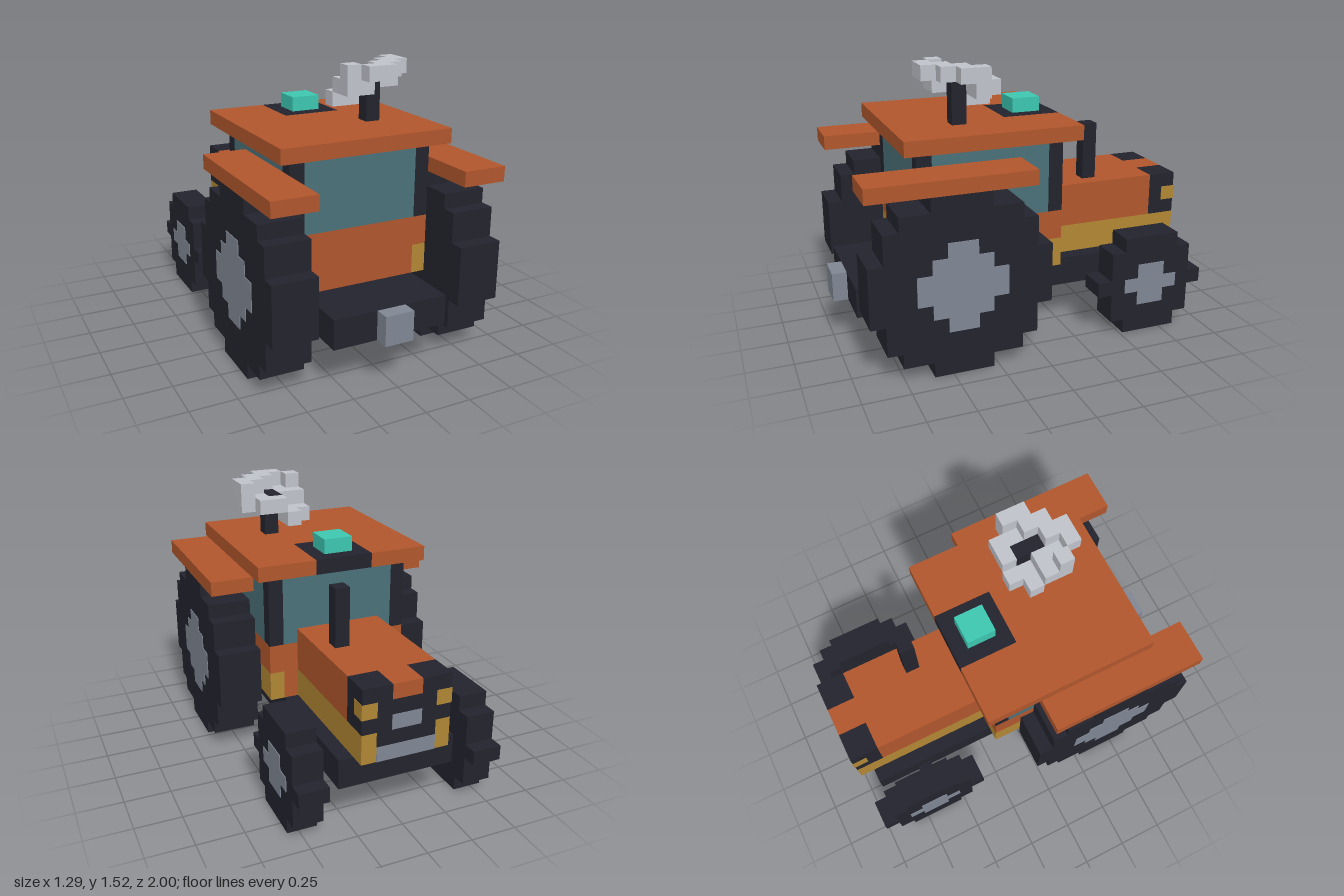
import * as THREE from 'three';

const U = 0.08; // block size

const material = (name, color) => {
  const m = new THREE.MeshStandardMaterial({ color });
  m.name = name;
  return m;
};

export function createModel() {
  const orange = material('orange paint', 0xb0562c);
  const dark = material('dark rubber', 0x23232e);
  const yellow = material('ochre trim', 0xb08633);
  const glass = material('window glass', 0x4a7078);
  const grey = material('steel grey', 0x7f8693);
  const pale = material('pale grey', 0xbfc2c9);
  const teal = material('teal light', 0x3cc6b0);

  const model = new THREE.Group();
  model.name = 'tractor';

  // Box given by its limits on each axis
  function box(name, mat, x0, x1, y0, y1, z0, z1, parent = model) {
    const mesh = new THREE.Mesh(new THREE.BoxGeometry(x1 - x0, y1 - y0, z1 - z0), mat);
    mesh.position.set((x0 + x1) / 2, (y0 + y1) / 2, (z0 + z1) / 2);
    mesh.name = name;
    parent.add(mesh);
  }
  // Same box on both sides
  function pair(name, mat, x0, x1, ...rest) {
    box(name + 'Left', mat, x0, x1, ...rest);
    box(name + 'Right', mat, -x1, -x0, ...rest);
  }

  // Stepped disc: row widths in blocks from bottom to top, extruded along x
  function disc(name, mat, rows, x0, x1, y0, z, parent) {
    const side = rows.flatMap((w, i) => [[w * U / 2, i * U], [w * U / 2, (i + 1) * U]]);
    const outline = [...side, ...side.map(([a, b]) => [-a, b]).reverse()];
    const shape = new THREE.Shape(outline.map(([a, b]) => new THREE.Vector2(a, b)));
    const geo = new THREE.ExtrudeGeometry(shape, { depth: x1 - x0, bevelEnabled: false });
    geo.rotateY(Math.PI / 2);
    const mesh = new THREE.Mesh(geo, mat);
    mesh.position.set(x0, y0, z);
    mesh.name = name;
    parent.add(mesh);
  }

  // Wheels with hub plates on the outer faces
  function wheel(name, rows, hubRows, hubY, width, z, s) {
    const g = new THREE.Group();
    g.name = name;
    const inner = 0.4, outer = 0.4 + width;
    disc('tyre', dark, rows, s > 0 ? inner : -outer, s > 0 ? outer : -inner, 0, z, g);
    const a = s * outer, b = s * (outer + 0.004);
    disc('hub', grey, hubRows, Math.min(a, b), Math.max(a, b), hubY, z, g);
    model.add(g);
  }
  for (const s of [1, -1]) {
    const side = s > 0 ? 'Left' : 'Right';
    wheel('largeWheel' + side, [4, 8, 10, 10, 12, 12, 12, 12, 10, 10, 8, 4],
      [2, 4, 6, 6, 4, 2], 0.24, 0.24, 0.44, s);
    wheel('smallWheel' + side, [4, 6, 6, 8, 6, 6, 4], [2, 4, 2], 0.16, 0.16, -0.68, s);
  }

  // Chassis, axle and hitch
  box('chassis', dark, -0.32, 0.32, 0.24, 0.4, -0.92, 0.92);
  pair('axle', dark, 0.32, 0.4, 0.24, 0.32, -0.68, -0.6);
  box('hitch', grey, -0.08, 0.08, 0.24, 0.4, 0.92, 1);

  // Cab: lower body, sill strips, windows and corner pillars
  box('cabBody', orange, -0.32, 0.32, 0.4, 0.56, -0.2, 0.6);
  pair('cabSill', yellow, 0.32, 0.4, 0.4, 0.56, -0.2, 0.6);
  box('cabWaist', orange, -0.4, 0.4, 0.56, 0.72, -0.2, 0.6);
  box('windowsLengthwise', glass, -0.32, 0.32, 0.72, 1.12, -0.2, 0.6);
  pair('sideWindow', glass, 0.32, 0.4, 0.72, 1.12, -0.12, 0.52);
  pair('hoodSidePillar', dark, 0.32, 0.4, 0.72, 1.12, -0.2, -0.12);
  pair('hitchSidePillar', dark, 0.32, 0.4, 0.72, 1.12, 0.52, 0.6);

  // Roof with dark lamp base, lamp and fenders
  box('roof', orange, -0.48, 0.48, 1.12, 1.2, 0.04, 0.68);
  pair('roofSide', orange, 0.16, 0.48, 1.12, 1.2, -0.28, 0.04);
  box('lampBase', dark, -0.16, 0.16, 1.12, 1.2, -0.28, 0.04);
  box('roofLamp', teal, -0.08, 0.08, 1.2, 1.28, -0.2, -0.04);
  pair('fender', orange, 0.4, 0.64, 0.96, 1.04, 0.04, 0.92);

  // Hood, skirts and exhaust
  box('hood', orange, -0.24, 0.24, 0.56, 0.8, -0.84, -0.2);
  pair('hoodSkirt', yellow, 0.16, 0.24, 0.4, 0.56, -1, -0.2);
  box('engineBlock', dark, -0.16, 0.16, 0.4, 0.56, -1, -0.2);
  box('exhaust', dark, 0.08, 0.16, 0.8, 1.12, -0.52, -0.44);

  // Nose with grille plates and headlights
  box('nose', dark, -0.24, 0.24, 0.56, 0.72, -1, -0.84);
  pair('noseCorner', dark, 0.08, 0.24, 0.72, 0.8, -1, -0.84);
  box('noseStripe', orange, -0.08, 0.08, 0.72, 0.8, -1, -0.84);
  box('grilleBadgePlate', grey, -0.08, 0.08, 0.56, 0.64, -1.003, -1);
  box('grilleBar', grey, -0.16, 0.16, 0.4, 0.48, -1.003, -1);
  pair('headlight', yellow, 0.16, 0.243, 0.64, 0.72, -1.003, -0.92);

  // Roof dish: mast, feed and stepped bowl made of blocks [column, row]
  box('dishMast', dark, 0.16, 0.24, 1.2, 1.44, 0.28, 0.36);
  box('dishFeed', dark, 0.16, 0.24, 1.36, 1.44, 0.2, 0.28);
  const dish = new THREE.Group();
  dish.name = 'dish';
  const layers = [
    [[1, 0], [0, 1], [1, 1]],
    [[2, 0], [3, 0], [3, 1], [4, 1], [0, 2], [1, 2], [0, 3], [1, 3]],
    [[4, 1], [4, 2], [3, 2], [3, 3], [2, 3], [2, 4], [1, 4], [0, 3]],
  ];
  layers.forEach((cells, j) => cells.forEach(([i, k]) => {
    const x = i * U, y = 1.28 + j * U, z = 0.12 + k * U;
    box('dishBlock', pale, x, x + U, y, y + U, z, z + U, dish);
  }));
  model.add(dish);

  return model;
}
